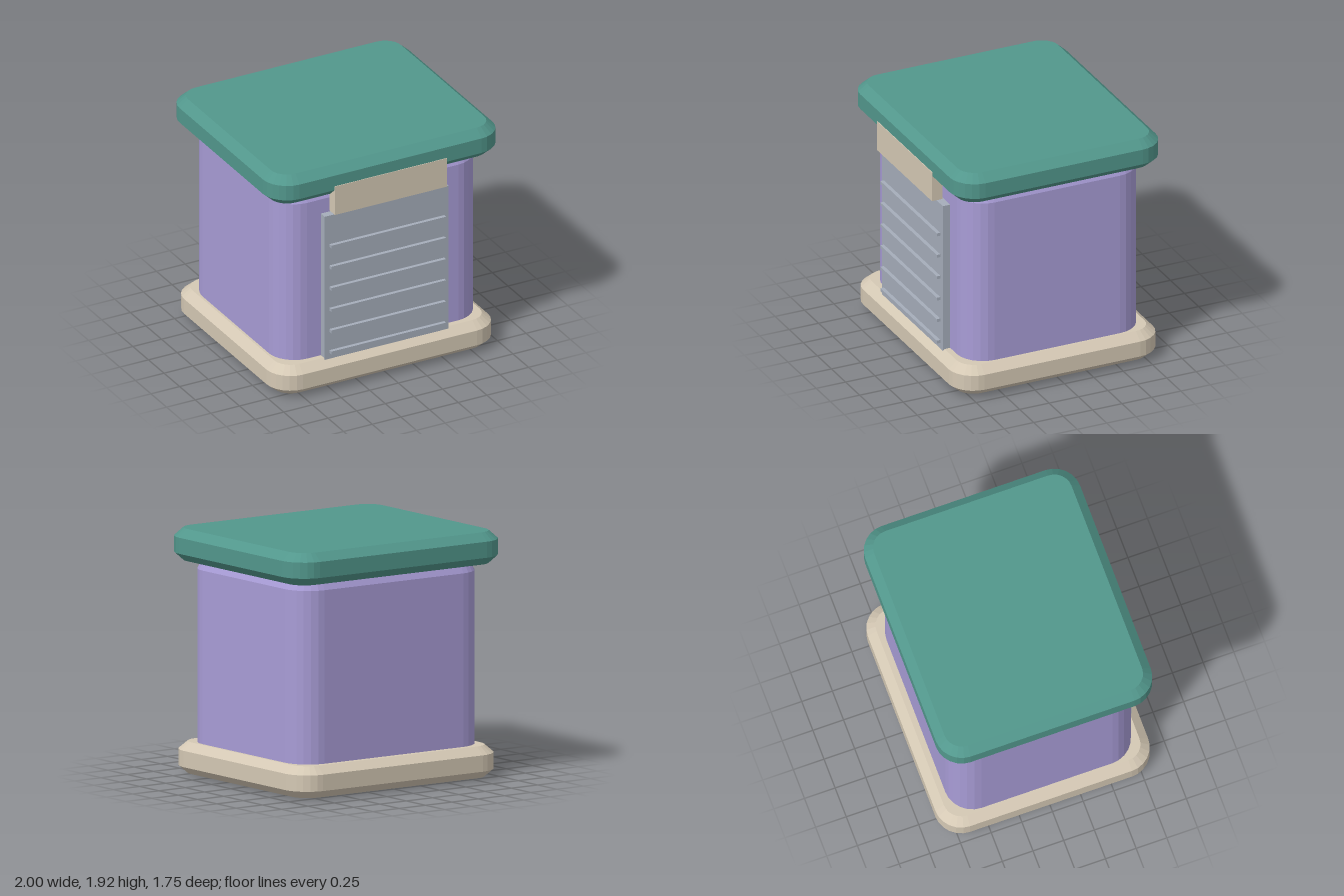
import * as THREE from 'three';

const material = (name, color) => {
  const m = new THREE.MeshStandardMaterial({ color });
  m.name = name;
  return m;
};

// Rounded rectangle centred on the origin
function roundedRect(hw, hd, r) {
  const s = new THREE.Shape();
  s.moveTo(hw, -hd + r);
  s.lineTo(hw, hd - r);
  s.absarc(hw - r, hd - r, r, 0, Math.PI / 2);
  s.absarc(-hw + r, hd - r, r, Math.PI / 2, Math.PI);
  s.absarc(-hw + r, -hd + r, r, Math.PI, Math.PI * 1.5);
  s.absarc(hw - r, -hd + r, r, Math.PI * 1.5, Math.PI * 2);
  return s;
}

// Upright bevelled block; hw, hd and r are the outermost sizes
function slab(name, mat, hw, hd, r, y0, y1, inset, bevelHeight) {
  const geo = new THREE.ExtrudeGeometry(roundedRect(hw - inset, hd - inset, r - inset), {
    depth: y1 - y0 - 2 * bevelHeight,
    bevelEnabled: true,
    bevelSize: inset,
    bevelThickness: bevelHeight,
    bevelSegments: 1,
    curveSegments: 3,
  });
  geo.rotateX(-Math.PI / 2);
  geo.translate(0, y0 + bevelHeight, 0);
  const mesh = new THREE.Mesh(geo, mat);
  mesh.name = name;
  return mesh;
}

// Box given by half width, height range and depth range
function box(name, mat, hw, y0, y1, z0, z1) {
  const mesh = new THREE.Mesh(new THREE.BoxGeometry(hw * 2, y1 - y0, z1 - z0), mat);
  mesh.position.set(0, (y0 + y1) / 2, (z0 + z1) / 2);
  mesh.name = name;
  return mesh;
}

export function createModel() {
  const purple = material('wall purple', 0xa89cd6);
  const teal = material('roof teal', 0x52978c);
  const beige = material('trim beige', 0xd4c8b4);
  const grey = material('shutter grey', 0xa5adba);

  const model = new THREE.Group();
  model.name = 'kiosk';

  // Walls, plinth and roof
  model.add(
    slab('walls', purple, 0.875, 0.75, 0.22, 0, 1.74, 0.065, 0.13),
    slab('base', beige, 0.965, 0.867, 0.21, 0.015, 0.262, 0.07, 0.06),
    slab('roof', teal, 1, 0.875, 0.21, 1.672, 1.923, 0.07, 0.063),
  );

  // Roller shutter with raised slats
  const shutter = new THREE.Group();
  shutter.name = 'shutter';
  shutter.add(box('shutterPanel', grey, 0.54, 0.243, 1.488, 0.7, 0.812));
  for (let i = 0; i < 6; i++) {
    const y = 0.313 + i * 0.1835;
    shutter.add(box('slat', grey, 0.5, y - 0.0125, y + 0.0125, 0.815, 0.845));
  }
  model.add(shutter);

  // Blank sign board under the roof edge
  model.add(box('signBoard', beige, 0.488, 1.522, 1.768, 0.79, 0.88));

  return model;
}
